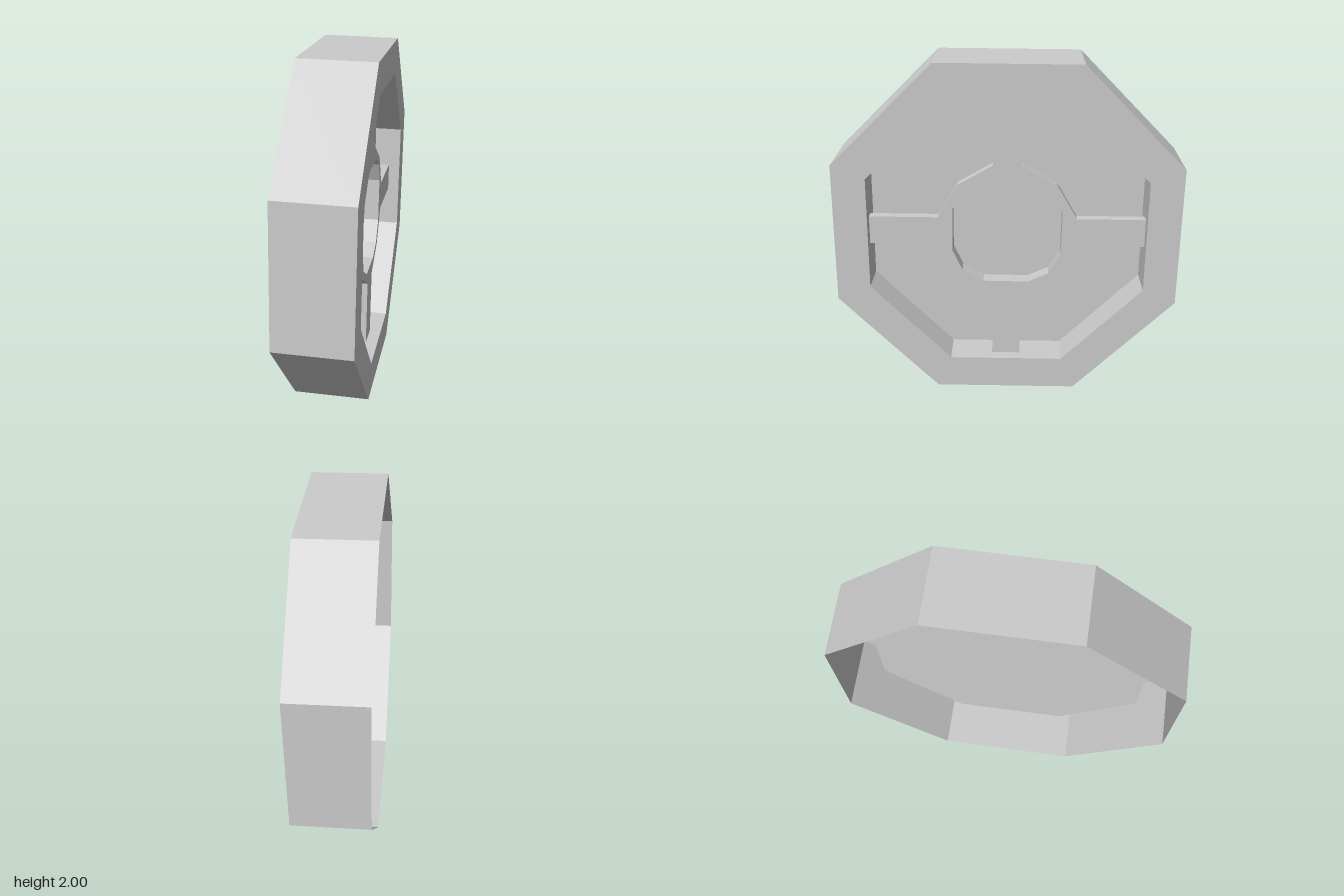
import * as THREE from 'three';

const material = new THREE.MeshStandardMaterial({ color: 0xcccccc, flatShading: true, side: THREE.DoubleSide });

const DISC_R = 0.866;   // corner radius of the recessed web
const RIM_R = 1.075;    // corner radius of the tread
const HALF_W = 0.22;
const HUB_FRONT = 0.15;
const THICK = 0.055;    // spokes and hub ring

function add(parent, name, geometry) {
  const mesh = new THREE.Mesh(geometry, material);
  mesh.name = name;
  parent.add(mesh);
  return mesh;
}

// Octagonal surface around the x axis from [radius, x] profile points
function octagon(points) {
  const profile = points.map(([r, x]) => new THREE.Vector2(r, x));
  return new THREE.LatheGeometry(profile, 8, Math.PI / 8).rotateZ(-Math.PI / 2);
}

// Twelve-sided outline from three corners of the first quadrant
function outline(corners, scale = 1) {
  const points = [];
  for (let q = 0; q < 4; q++) {
    for (const [a, b] of corners) {
      points.push(new THREE.Vector2(a, b).multiplyScalar(scale)
        .rotateAround(new THREE.Vector2(), q * Math.PI / 2));
    }
  }
  return points;
}

// Plate facing +x between two x positions, with an optional hole
function plate(outer, hole, back, front) {
  const shape = new THREE.Shape(outer);
  if (hole) shape.holes.push(new THREE.Path(hole));
  return new THREE.ExtrudeGeometry(shape, { depth: front - back, bevelEnabled: false })
    .rotateY(Math.PI / 2).translate(back, 0, 0);
}

export function createModel() {
  const model = new THREE.Group();
  model.name = 'wheel';

  // The wheel leans and turns very slightly
  const wheel = new THREE.Group();
  wheel.name = 'wheelBody';
  wheel.position.y = 1;
  wheel.rotation.set(-0.01, 0.016, -0.0175);
  model.add(wheel);

  // Rim shell: inner wall, front face and tread, open at the back
  add(wheel, 'rim', octagon([[DISC_R, 0], [DISC_R, HALF_W], [RIM_R, HALF_W], [RIM_R, -HALF_W]]));
  add(wheel, 'webDisc', octagon([[0, 0], [DISC_R, 0]]));

  // Hub ring with a shallow cup in its middle
  const hubOuter = [[0.4, 0.088], [0.285, 0.285], [0.088, 0.4]];
  const hubInner = [[0.318, 0.125], [0.262, 0.245], [0.138, 0.316]];
  const hubBack = HUB_FRONT - THICK;
  const hole = outline(hubInner);
  add(wheel, 'hubRing', plate(outline(hubOuter), hole, hubBack, HUB_FRONT));
  add(wheel, 'hubSleeve', plate(outline(hubInner, 1.03), hole, 0.055, hubBack));
  add(wheel, 'hubFloor', plate(hole, null, 0.05, 0.06));

  // Four flat spokes between the hub and the rim
  for (let i = 0; i < 4; i++) {
    const spoke = add(wheel, 'spoke', new THREE.BoxGeometry(THICK, 0.4, 0.168)
      .translate(HUB_FRONT - THICK / 2, 0.6, 0));
    spoke.rotation.x = i * Math.PI / 2;
  }

  return model;
}
